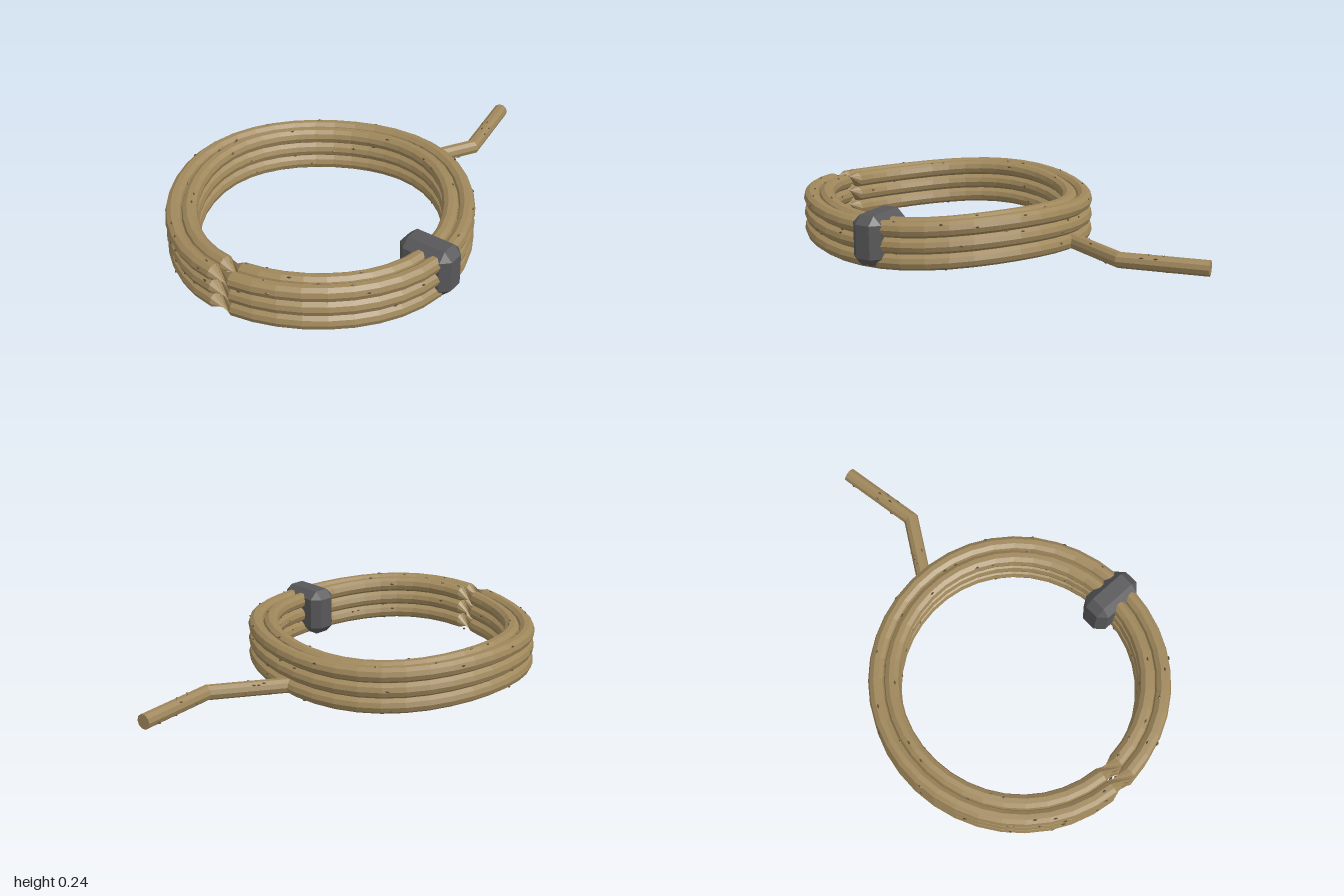
import * as THREE from 'three';
import { mergeGeometries } from 'three/addons/utils/BufferGeometryUtils.js';
import { ConvexGeometry } from 'three/addons/geometries/ConvexGeometry.js';

const SIDES = 10, SEGS = 40, ROPE_R = 0.036;
const CX = -0.335, CZ = -0.013;
const UP = new THREE.Vector3(0, 1, 0);

// Faceted skin over rope sections { pos, out, r, twist }
function loft(sections, capEnd) {
  const rings = sections.map(({ pos, out, r, twist, miter = 1 }) =>
    Array.from({ length: SIDES }, (_, j) => {
      const a = (j / SIDES) * Math.PI * 2 + twist;
      return pos.clone().addScaledVector(out, r * miter * Math.cos(a)).addScaledVector(UP, r * Math.sin(a));
    }));
  const v = [];
  const tri = (...points) => points.forEach(p => v.push(p.x, p.y, p.z));
  for (let i = 0; i < rings.length - 1; i++) {
    for (let j = 0; j < SIDES; j++) {
      const k = (j + 1) % SIDES;
      tri(rings[i][j], rings[i + 1][j], rings[i + 1][k]);
      tri(rings[i][j], rings[i + 1][k], rings[i][k]);
    }
  }
  if (capEnd) {
    const end = rings.length - 1;
    for (let j = 0; j < SIDES; j++) tri(sections[end].pos, rings[end][(j + 1) % SIDES], rings[end][j]);
  }
  const geo = new THREE.BufferGeometry();
  geo.setAttribute('position', new THREE.Float32BufferAttribute(v, 3));
  geo.computeVertexNormals();
  return geo;
}

// Point on a gently waving loop; phi runs from the front towards +x
function loopPoint(phi, radius, y) {
  const out = new THREE.Vector3(Math.sin(phi), 0, Math.cos(phi));
  const pos = new THREE.Vector3(CX, y - 0.013 * Math.cos(3 * phi), CZ).addScaledVector(out, radius);
  return { pos, out };
}

function loopGeometry(radius, y) {
  const sections = [];
  let twist = 0;
  for (let i = 0; i <= SEGS; i++) {
    // gradual twist on one side, tight kink on the other
    if (i >= 9 && i <= 11) twist -= Math.PI / 5;
    if (i === 30) twist -= Math.PI * 0.8;
    const phi = ((i + 0.5) / SEGS) * Math.PI * 2;
    sections.push({ ...loopPoint(phi, radius, y), r: ROPE_R, twist });
  }
  return loft(sections, false);
}

export function createModel() {
  const ropeMat = new THREE.MeshStandardMaterial({ color: 0x9f875b });
  ropeMat.name = 'hemp tan';
  const fleckMat = new THREE.MeshStandardMaterial({ color: 0x5e4d33 });
  fleckMat.name = 'fibre brown';
  const clipMat = new THREE.MeshStandardMaterial({ color: 0x58585a });
  clipMat.name = 'clip grey';

  const group = new THREE.Group();
  group.name = 'ropeCoil';
  const add = (name, geo, mat) => {
    const mesh = new THREE.Mesh(geo, mat);
    mesh.name = name;
    group.add(mesh);
  };

  let seed = 7;
  const rand = () => (seed = (seed * 16807) % 2147483647) / 2147483647;

  // Small fibre fleck lying on the rope skin
  const flecks = [];
  function addFleck(pos, out, angle, r) {
    const normal = out.clone().multiplyScalar(Math.cos(angle)).addScaledVector(UP, Math.sin(angle));
    const along = new THREE.Vector3().crossVectors(UP, out).normalize();
    const across = new THREE.Vector3().crossVectors(along, normal);
    const p = pos.clone().addScaledVector(normal, r * 0.99);
    const geo = new THREE.OctahedronGeometry(1);
    geo.scale(0.011, 0.005, 0.005);
    geo.applyMatrix4(new THREE.Matrix4().makeBasis(along, normal, across).setPosition(p));
    flecks.push(geo);
  }

  // Two nested loops in each of three layers
  for (let layer = 0; layer < 3; layer++) {
    const y = 0.055 + layer * 0.07;
    [['outerLoop', 0.629], ['innerLoop', 0.561]].forEach(([name, radius]) => {
      add(name + (layer + 1), loopGeometry(radius, y), ropeMat);
      for (let i = 0; i < 40; i++) {
        const { pos, out } = loopPoint(((i + rand()) / 40) * Math.PI * 2, radius, y);
        addFleck(pos, out, rand() * Math.PI * 2, ROPE_R);
      }
    });
  }

  // Loose tail with one mitred bend
  const path = [[0.25, -0.035], [0.61, 0.175], [0.985, 0.11]].map(([x, z]) => new THREE.Vector3(x, 0.057, z));
  const outs = [0, 1].map(i => path[i + 1].clone().sub(path[i]).cross(UP).normalize());
  const bend = outs[0].clone().add(outs[1]).normalize();
  add('looseTail', loft([
    { pos: path[0], out: outs[0], r: 0.034, twist: 0 },
    { pos: path[1], out: bend, r: 0.034, twist: 0, miter: 1 / bend.dot(outs[0]) },
    { pos: path[2], out: outs[1], r: 0.034, twist: 0 },
  ], true), ropeMat);
  for (let i = 0; i < 20; i++) {
    const s = i % 2;
    const pos = path[s].clone().lerp(path[s + 1], 0.08 + 0.84 * rand());
    addFleck(pos, outs[s], rand() * Math.PI * 2, 0.033);
  }
  add('fibreFlecks', mergeGeometries(flecks), fleckMat);

  // Chamfered clip holding the loops together
  const half = [0.071, 0.11, 0.126], bevel = 0.037;
  const corners = [];
  for (const sx of [-1, 1]) for (const sy of [-1, 1]) for (const sz of [-1, 1]) {
    for (let full = 0; full < 3; full++) {
      const d = half.map((h, k) => (k === full ? h : h - bevel));
      corners.push(new THREE.Vector3(sx * d[0], sy * d[1], sz * d[2]));
    }
  }
  const clip = new ConvexGeometry(corners);
  clip.translate(CX, 0.129, 0.554);
  add('clip', clip, clipMat);

  return group;
}
